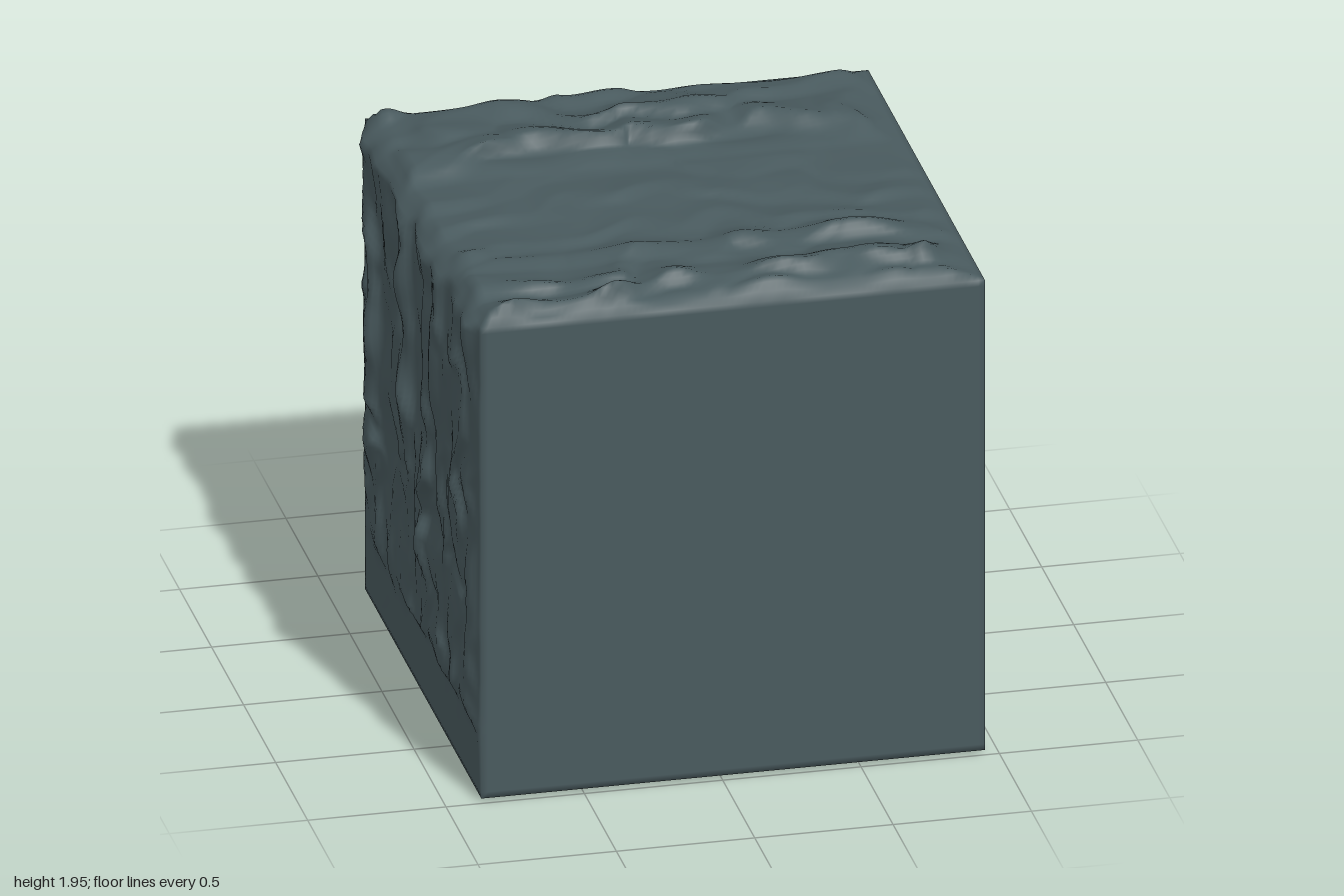
import * as THREE from 'three';
import { mergeVertices } from 'three/addons/utils/BufferGeometryUtils.js';

const SIZE = 1.82, SEGMENTS = 80;
const CENTER = new THREE.Vector3(0.04, 0.925, 0.08);

// Smooth seeded value noise in 0..1
function hash(i, j, seed) {
  let h = Math.imul(i, 374761393) + Math.imul(j, 668265263) + Math.imul(seed, 974711);
  h = Math.imul(h ^ (h >>> 13), 1274126177);
  return ((h ^ (h >>> 16)) >>> 0) / 4294967295;
}
function noise(u, v, seed) {
  const i = Math.floor(u), j = Math.floor(v);
  const s = (t) => t * t * (3 - 2 * t);
  const a = s(u - i), b = s(v - j), mix = THREE.MathUtils.lerp;
  return mix(mix(hash(i, j, seed), hash(i + 1, j, seed), a),
    mix(hash(i, j + 1, seed), hash(i + 1, j + 1, seed), a), b);
}

// Linear profile through [position, height] points
function profile(points, t) {
  for (let k = 1; k < points.length; k++) {
    const [t0, h0] = points[k - 1], [t1, h1] = points[k];
    if (t <= t1) return h0 + (h1 - h0) * Math.min(1, Math.max(0, (t - t0) / (t1 - t0)));
  }
  return points[points.length - 1][1];
}

// Tallest rock height along each axis of the three broken faces
const TOP_X = [[-0.87, 0], [-0.83, 0.06], [-0.6, 0.12], [-0.45, 0.15], [-0.2, 0.11], [0, 0.11], [0.2, 0.12],
  [0.5, 0.11], [0.7, 0.09], [0.77, 0.14], [0.85, 0.06], [0.95, 0]];
const TOP_Z = [[-0.83, 0], [-0.78, 0.07], [-0.65, 0.08], [-0.5, 0.13], [-0.3, 0.07], [-0.2, 0.03], [0, 0.04],
  [0.2, 0.04], [0.4, 0.05], [0.5, 0.09], [0.6, 0.05], [0.7, 0.08], [0.8, 0.14], [0.93, 0.1], [0.99, 0]];
const BACK_X = [[-0.87, 0], [-0.75, 0.04], [-0.6, 0.09], [-0.35, 0.18], [-0.2, 0.14], [0, 0.12], [0.2, 0.11],
  [0.37, 0.13], [0.5, 0.1], [0.65, 0.14], [0.8, 0.16], [0.9, 0.06], [0.95, 0]];
const BACK_Y = [[0.015, 0], [0.2, 0.11], [0.45, 0.12], [0.63, 0.18], [0.8, 0.13], [1.05, 0.15], [1.23, 0.15],
  [1.4, 0.08], [1.6, 0.02], [1.72, 0.06], [1.835, 0]];
const LEFT_Y = [[0.015, 0], [0.25, 0.01], [0.32, 0.06], [0.55, 0.05], [0.7, 0.09], [0.78, 0.04], [0.87, 0.08],
  [1.1, 0.08], [1.4, 0.1], [1.54, 0.1], [1.65, 0.06], [1.8, 0.06], [1.835, 0]];
const LEFT_Z = [[-0.83, 0], [-0.7, 0.06], [-0.6, 0.11], [-0.5, 0.04], [-0.2, 0.05], [-0.1, 0.09], [0, 0.02],
  [0.25, 0.09], [0.4, 0.09], [0.5, 0.04], [0.65, 0.07], [0.85, 0.06], [0.99, 0]];

// Jagged ridges: each rises to a ragged crest and drops again along a wandering line
function ridges(along, across, count, seed) {
  const w = across * count + 1.3 * noise(along * 2.4, across * 1.5, seed) + 0.8 * noise(along * 6, across * 4, seed + 1);
  const f = w - Math.floor(w);
  const slope = f < 0.65 ? f / 0.65 : (1 - f) / 0.35;
  const crest = 0.25 + 0.7 * noise(along * 8, Math.floor(w) * 3.7, seed + 2);
  return Math.min(1, 0.12 + 0.65 * slope * crest + 0.45 * noise(along * 5, across * 5, seed + 3));
}
// Rounded lumps divided by creases
function lumps(u, v, seed) {
  const p = u + 0.15 * noise(u * 4, v * 4, seed + 4), q = v + 0.2 * noise(u * 3, v * 3, seed + 5);
  const big = Math.abs(2 * noise(p * 3.6, q * 3, seed) - 1), small = Math.abs(2 * noise(p * 8, q * 7, seed + 1) - 1);
  return 0.15 + 0.65 * Math.sqrt(big) + 0.35 * small;
}

export function createModel() {
  const stone = new THREE.MeshStandardMaterial({ color: 0x495a5e });
  stone.name = 'slate grey stone';

  const geometry = new THREE.BoxGeometry(SIZE, SIZE, SIZE, SEGMENTS, SEGMENTS, SEGMENTS);
  geometry.translate(CENTER.x, CENTER.y, CENTER.z);
  const pos = geometry.attributes.position, nor = geometry.attributes.normal;

  for (let i = 0; i < pos.count; i++) {
    const x = pos.getX(i), y = pos.getY(i), z = pos.getZ(i);
    const dx = x - CENTER.x, dy = y - CENTER.y, dz = z - CENTER.z;
    // Fade all movement to nothing at the face border, so the sides stay joined
    const border = (a, b) => Math.max(0, Math.min(1, 5 * (SIZE / 2 - 1e-5 - Math.max(Math.abs(a), Math.abs(b)))));
    const wobble = (a, b, seed) => border(a, b) * (noise(a * 7, b * 7, seed) - 0.5);
    if (nor.getY(i) > 0.5) {
      // Top: ridges running from side to side
      const h = Math.min(profile(TOP_X, x), profile(TOP_Z, z)) * ridges(x, z, 4.2, 11);
      pos.setXYZ(i, x + 0.08 * wobble(dx, dz, 17), y + h, z + 0.5 * h * border(dx, dz));
    } else if (nor.getZ(i) < -0.5) {
      // Back: lumpy broken rock
      const h = Math.min(profile(BACK_X, x), profile(BACK_Y, y)) * lumps(x, y, 31);
      pos.setXYZ(i, x + 0.1 * wobble(dx, dy, 37), y - 0.1 * wobble(dx, dy, 41), z - h);
    } else if (nor.getX(i) < -0.5) {
      // Rough side: upright ridges
      const h = Math.min(profile(LEFT_Y, y), profile(LEFT_Z, z)) * ridges(y, z, 4, 53);
      pos.setXYZ(i, x - h, y + 0.08 * wobble(dy, dz, 59), z + 0.5 * h * border(dy, dz));
    }
    // Small chip hanging below the back bottom edge
    if (dy < -SIZE / 2 + 0.001) {
      const chip = Math.max(0, 1 - Math.abs(x + 0.25) / 0.15) * Math.max(0, 1 - (z + 0.83) / 0.06);
      pos.setY(i, pos.getY(i) - 0.015 * chip);
    }
  }

  // Weld the six sides so the shading rolls softly over the edges
  geometry.deleteAttribute('normal');
  geometry.deleteAttribute('uv');
  geometry.clearGroups();
  const welded = mergeVertices(geometry, 1e-4);
  welded.computeVertexNormals();

  const block = new THREE.Mesh(welded, stone);
  block.name = 'stoneBlock';
  const group = new THREE.Group();
  group.name = 'roughStoneBlock';
  group.add(block);
  return group;
}
